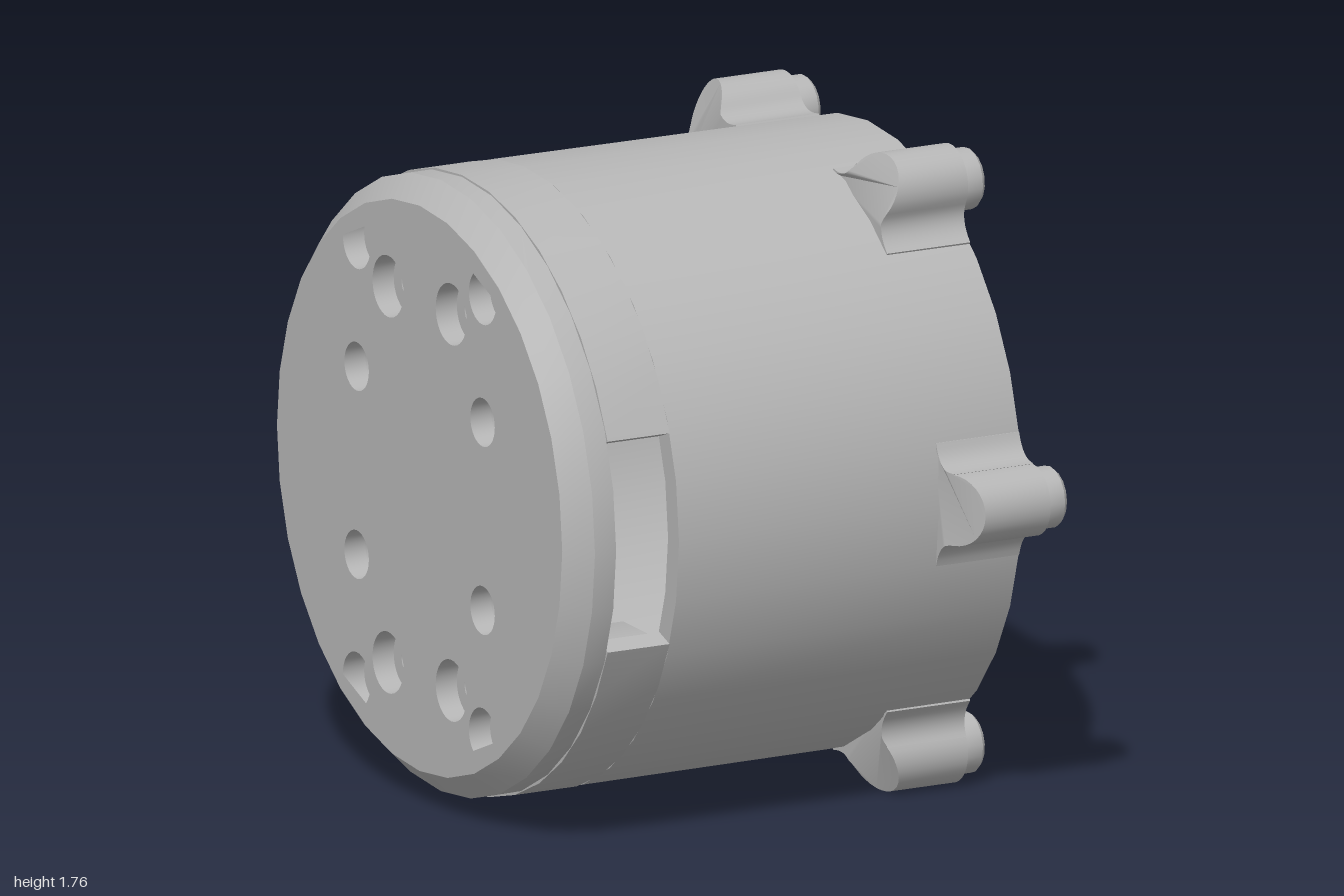
import * as THREE from 'three';
import { toCreasedNormals } from 'three/addons/utils/BufferGeometryUtils.js';

const steel = new THREE.MeshStandardMaterial({ color: 0xb6b6b6 });
steel.name = 'grey metal';

// Mirrored hole positions: [x, y, through radius, counterbore radius]
const HOLES = [
  [0.345, 0.26, 0.067, 0.067],
  [0.173, 0.52, 0.043, 0.085],
  [0.345, 0.605, 0.035, 0.075],
];
const WINDOW_ANGLE = 0.35;

const circle = (x, y, r) => new THREE.Path().absarc(x, y, r, 0, Math.PI * 2, false);
const disc = (r) => new THREE.Shape().absarc(0, 0, r, 0, Math.PI * 2, false);

// Extrude along the drum axis between two positions; rule(v, isBack) may move vertices
function slab(name, shape, from, to, segments = 20, rule = null) {
  const geo = new THREE.ExtrudeGeometry(shape, { depth: to - from, bevelEnabled: false, curveSegments: segments });
  if (rule) {
    const p = geo.attributes.position, v = new THREE.Vector3();
    for (let i = 0; i < p.count; i++) {
      v.fromBufferAttribute(p, i);
      rule(v, v.z < 1e-5);
      p.setXYZ(i, v.x, v.y, v.z);
    }
  }
  geo.translate(0, 0, from);
  const mesh = new THREE.Mesh(toCreasedNormals(geo, 0.6), steel);
  mesh.name = name;
  return mesh;
}

function punch(shape, holes, radiusIndex) {
  for (const h of holes)
    for (const sx of [-1, 1])
      for (const sy of [-1, 1]) shape.holes.push(circle(sx * h[0], sy * h[1], h[radiusIndex]));
  return shape;
}

// Raised floor with a wavy pocket and a channel leading to the side window
function floorShape() {
  const s = new THREE.Shape();
  const a = Math.PI - 0.36;
  s.absarc(0, 0, 0.795, a, -a, true);
  const half = [
    [-0.58, 0.275], [-0.49, 0.32], [-0.48, 0.42], [-0.44, 0.51], [-0.33, 0.52], [-0.25, 0.44],
    [-0.17, 0.40], [-0.08, 0.43], [0, 0.47], [0.08, 0.43], [0.17, 0.40], [0.25, 0.44],
    [0.33, 0.52], [0.45, 0.50], [0.53, 0.455], [0.62, 0.42], [0.65, 0.32], [0.60, 0.24], [0.57, 0.16],
  ];
  const path = [
    ...half.map(([x, y]) => new THREE.Vector2(x, -y)),
    ...half.slice().reverse().map(([x, y]) => new THREE.Vector2(x, y)),
  ];
  s.lineTo(path[0].x, path[0].y);
  s.splineThru(path.slice(1));
  punch(s, HOLES.slice(1), 2);
  for (const sy of [-1, 1]) s.holes.push(circle(-0.555, sy * 0.375, 0.033));
  return s;
}

// Ear with concave flanks blending into the drum, pointing along +x
function lugShape() {
  const s = new THREE.Shape();
  s.moveTo(0.81, -0.17);
  s.lineTo(0.83, -0.17);
  s.quadraticCurveTo(0.85, -0.1, 0.91, -0.1);
  s.absarc(0.905, 0, 0.098, -Math.PI / 2, Math.PI / 2, false);
  s.quadraticCurveTo(0.85, 0.1, 0.83, 0.17);
  s.lineTo(0.81, 0.17);
  s.closePath();
  return s;
}

// Round bolt head with a hexagonal socket
function bolt() {
  const s = disc(0.073);
  const hex = new THREE.Path();
  for (let i = 0; i < 6; i++) {
    const a = (i * Math.PI) / 3;
    hex[i ? 'lineTo' : 'moveTo'](0.056 * Math.cos(a), 0.056 * Math.sin(a));
  }
  hex.closePath();
  s.holes.push(hex);
  const geo = new THREE.ExtrudeGeometry(s, {
    depth: 0.056, bevelEnabled: true, bevelThickness: 0.012, bevelSize: 0.011, bevelSegments: 1, curveSegments: 8,
  });
  geo.translate(0, 0, 0.654);
  const mesh = new THREE.Mesh(toCreasedNormals(geo, 0.6), steel);
  mesh.name = 'bolt';
  mesh.position.x = 0.9;
  return mesh;
}

export function createModel() {
  const model = new THREE.Group();
  model.name = 'bolted housing';
  // Drum axis is built along local z, then turned to lie along x
  const drum = new THREE.Group();
  drum.name = 'drum';
  drum.rotation.y = Math.PI / 2;
  drum.position.y = 0.88;
  model.add(drum);

  // End cap: chamfered outer plate with counterbores, then inner plate
  drum.add(slab('endCap', punch(disc(0.845), HOLES, 3), -0.72, -0.655, 16, (v, back) => {
    if (back && Math.hypot(v.x, v.y) > 0.8) { v.x *= 0.925; v.y *= 0.925; }
  }));
  drum.add(slab('capInnerPlate', punch(disc(0.845), HOLES, 2), -0.655, -0.59, 16));

  // Raised floor and its two low ribs
  drum.add(slab('raisedFloor', floorShape(), -0.59, -0.42, 10));
  for (const side of [-1, 1]) {
    const rib = new THREE.Shape([
      [0.30, -0.16], [0.40, -0.19], [0.54, -0.21], [0.57, -0.17],
      [0.57, 0.17], [0.54, 0.21], [0.40, 0.19], [0.30, 0.16],
    ].map(([x, y]) => new THREE.Vector2(side * x, y)));
    drum.add(slab('floorRib', rib, -0.59, -0.56));
  }

  // Wall: a band interrupted by the window, then the full tube
  const band = new THREE.Shape();
  const a = Math.PI - WINDOW_ANGLE;
  band.absarc(0, 0, 0.85, -a, a, false);
  band.absarc(0, 0, 0.79, a, -a, true);
  band.closePath();
  drum.add(slab('windowBand', band, -0.59, -0.4, 16));
  const tube = disc(0.85);
  tube.holes.push(circle(0, 0, 0.79));
  drum.add(slab('tube', tube, -0.4, 0.655, 16, (v, back) => {
    if (!back && Math.hypot(v.x, v.y) > 0.82) { v.x *= 0.994; v.y *= 0.994; }
  }));

  // Six bolted lugs around the open rim
  for (let i = 0; i < 6; i++) {
    const ear = new THREE.Group();
    ear.name = 'boltedLug';
    ear.rotation.z = (i * Math.PI) / 3;
    ear.add(slab('lug', lugShape(), 0.4, 0.655, 8, (v, back) => {
      if (back) v.z += Math.max(0, v.x - 0.88) * 0.45;
    }));
    ear.add(bolt());
    drum.add(ear);
  }
  return model;
}
